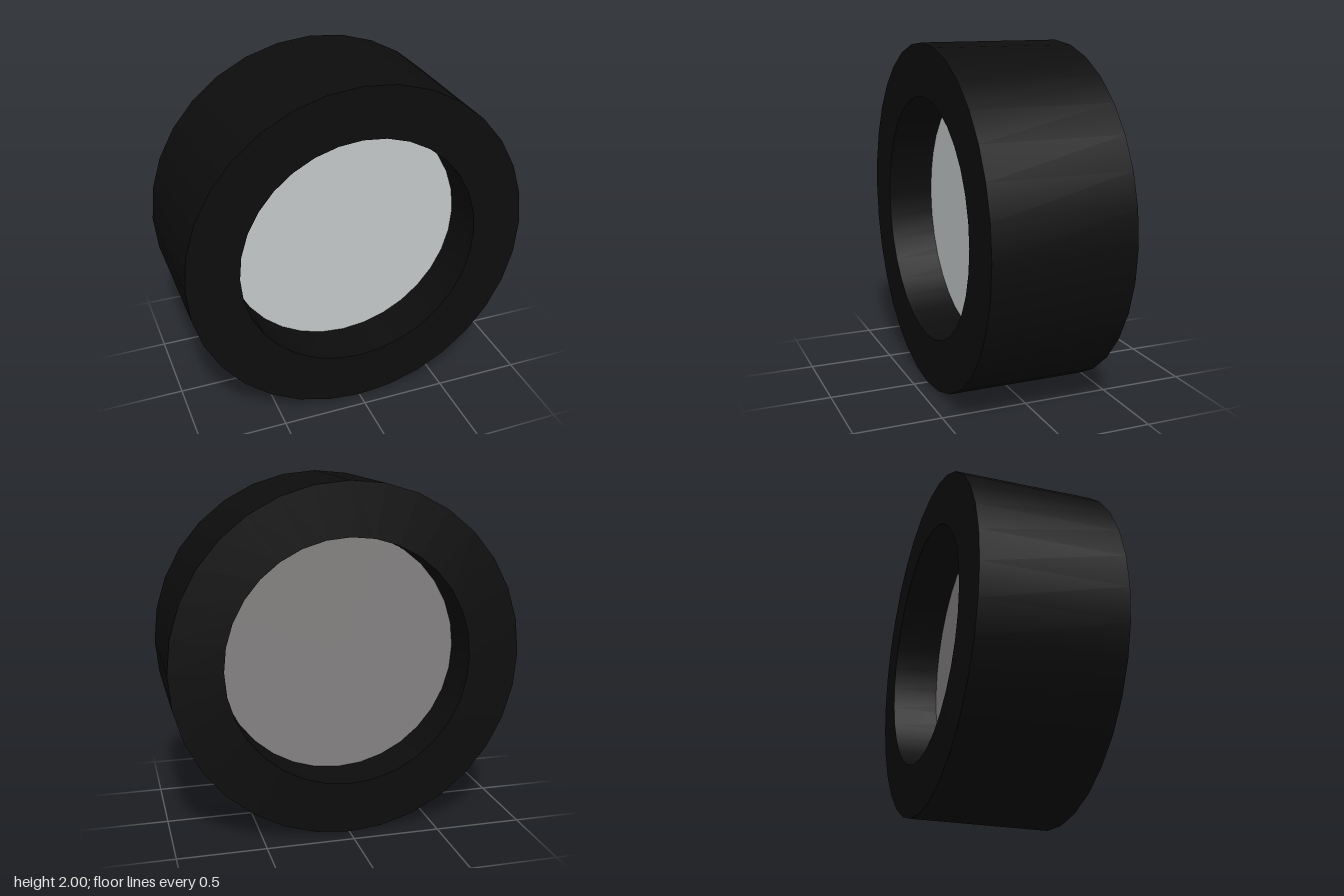
import * as THREE from 'three';
import { toCreasedNormals } from 'three/addons/utils/BufferGeometryUtils.js';

const SIDES = 32;
const HOLE = 0.7;      // radius of the opening
const HALF = 0.413;    // half the tyre width
const DISC_Z = 0.137;  // half the wheel disc thickness

function material(name, hex) {
  const m = new THREE.MeshStandardMaterial({ color: hex });
  m.name = name;
  return m;
}

export function createModel() {
  const rubber = material('black rubber', 0x0d0d0d);
  const silver = material('light silver', 0xc4c8ca);
  const grey = material('warm grey', 0x848181);

  const wheel = new THREE.Group();
  wheel.name = 'wheel';

  const add = (name, geometry, mat) => {
    const mesh = new THREE.Mesh(geometry, mat);
    mesh.name = name;
    mesh.position.y = 1;
    wheel.add(mesh);
    return mesh;
  };

  // Tyre: closed ring profile, flat front wall and slightly bulged back wall
  const profile = [
    [1, -0.4], [1, HALF], [HOLE, HALF], [HOLE, -HALF], [1, -0.4],
  ].map(([r, z]) => new THREE.Vector2(r, z));
  const ring = new THREE.LatheGeometry(profile, SIDES).rotateX(Math.PI / 2);
  add('tyre', toCreasedNormals(ring, 0.5), rubber);

  // Recessed wheel disc, one face on each side
  const face = new THREE.CircleGeometry(HOLE, SIDES);
  add('frontDisc', face, silver).position.z = DISC_Z;
  const back = add('backDisc', face, grey);
  back.position.z = -DISC_Z;
  back.rotation.y = Math.PI;

  return wheel;
}
